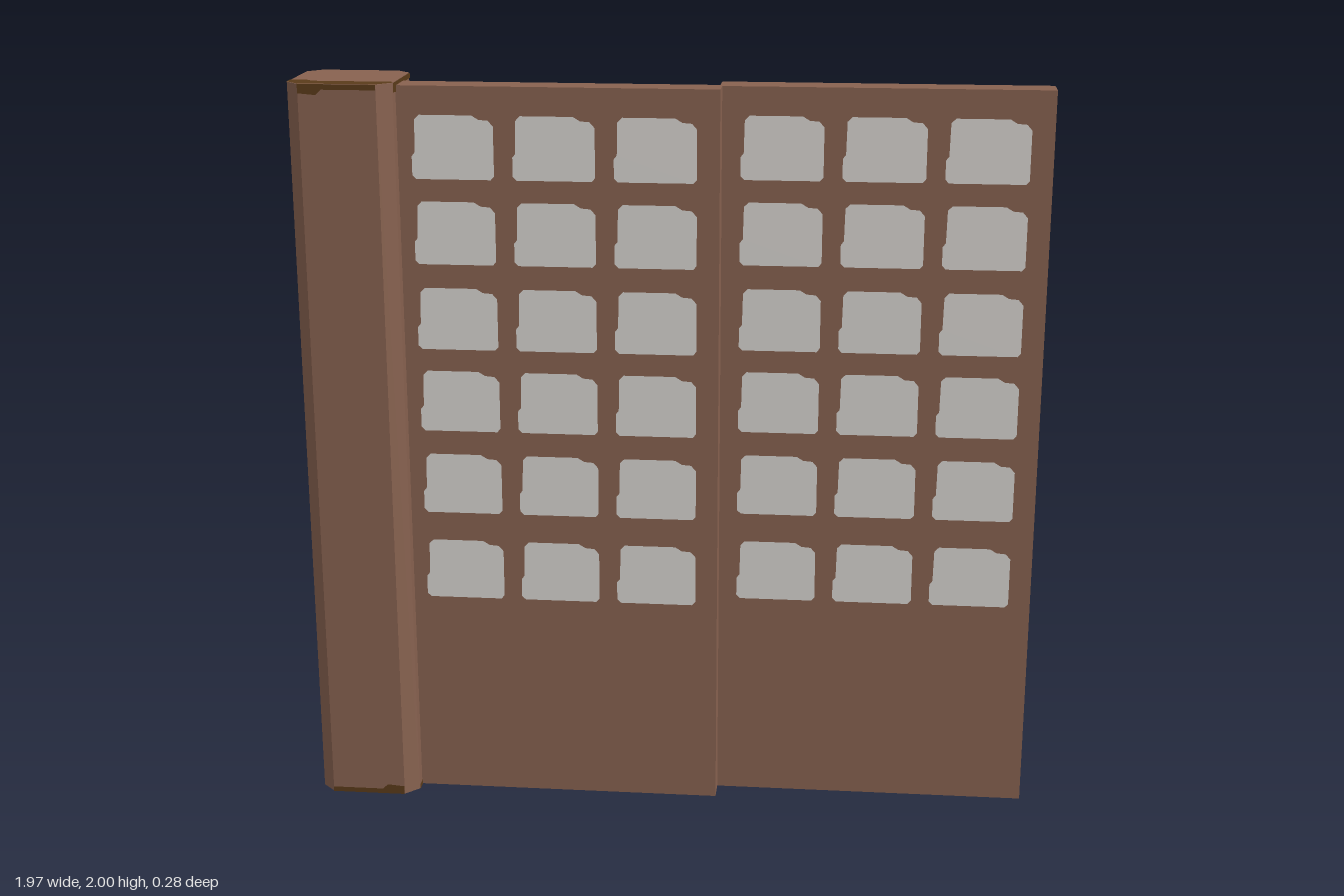
import * as THREE from 'three';

const flat = (color, name) => {
  const m = new THREE.MeshStandardMaterial({ color });
  m.name = name;
  return m;
};

// Flat face or solid slab from a list of outline points
const outline = (pts) => new THREE.Shape(pts.map(([x, y]) => new THREE.Vector2(x, y)));

export function createModel() {
  const model = new THREE.Group();
  model.name = 'slidingScreenDoor';
  const wood = flat(0x886250, 'wood');
  const paper = flat(0xd9d5d2, 'paper');
  const dark = flat(0x5a3b1a, 'darkWood');

  const add = (parent, name, geo, mat, x = 0, y = 0, z = 0) => {
    const mesh = new THREE.Mesh(geo, mat);
    mesh.name = name;
    mesh.position.set(x, y, z);
    parent.add(mesh);
    return mesh;
  };

  // Post: square with chamfered corners, full height
  const post = new THREE.Group();
  post.name = 'post';
  post.position.x = -0.848;
  model.add(post);
  const r = 0.138, c = 0.102;
  const postShape = outline([[-c, -r], [c, -r], [r, -c], [r, c], [c, r], [-c, r], [-r, c], [-r, -c]]);
  const postGeo = new THREE.ExtrudeGeometry(postShape, { depth: 2, bevelEnabled: false });
  postGeo.rotateX(-Math.PI / 2);
  add(post, 'postBody', postGeo, wood);

  // Dark worn bands at the top and bottom of each post face
  const bandGeo = new THREE.ShapeGeometry(outline([
    [-c, 0], [-c, -0.024], [-0.055, -0.028], [-0.04, -0.014], [c, -0.014], [c, 0],
  ]));
  for (let i = 0; i < 4; i++) {
    const side = new THREE.Group();
    side.name = 'postSide';
    side.rotation.y = i * Math.PI / 2;
    post.add(side);
    add(side, 'topBand', bandGeo, dark, 0, 2, r + 0.002);
    add(side, 'bottomBand', bandGeo, dark, 0, 0, r + 0.002).rotation.z = Math.PI;
  }

  // Dark strip along the front edge of the post's end faces
  const capGeo = new THREE.ShapeGeometry(outline([
    [-c, -r], [c, -r], [r, -c], [r, -0.085], [-0.075, -0.085], [-0.095, -0.066], [-r, -0.066], [-r, -c],
  ]));
  add(post, 'topCapStrip', capGeo, dark, 0, 2.001, 0).rotation.x = -Math.PI / 2;
  const under = add(post, 'bottomCapStrip', capGeo, dark, 0, -0.001, 0);
  under.rotation.set(Math.PI / 2, 0, 0);

  // Shared door geometry
  const w = 0.43, h = 1.99, t = 0.0425;
  const doorGeo = new THREE.BoxGeometry(2 * w, h, 2 * t);
  const paneGeo = new THREE.ShapeGeometry(outline([
    [0, 0.01], [0.01, 0], [0.207, 0], [0.216, 0.01], [0.216, 0.14], [0.203, 0.155],
    [0.178, 0.157], [0.16, 0.168], [0.022, 0.168], [0.01, 0.156], [0.008, 0.07], [0, 0.06],
  ]));
  const backPaperGeo = new THREE.ShapeGeometry(outline([
    [-w, 0], [-0.05, 0], [-0.05, 0.17], [w, 0.17], [w, 0.935], [-w, 0.935],
  ]));
  const railGeo = new THREE.ShapeGeometry(outline([
    [-w, 0.935], [w, 0.935], [w, 1.08], [0.4, 1.115], [0.24, 1.13], [0.19, 1.15],
    [0.02, 1.115], [-0.01, 1.12], [-0.03, 1.06], [-w, 1.06],
  ]));
  const rows = [1.747, 1.52, 1.288, 1.06, 0.826, 0.578];

  const addDoor = (name, x, z) => {
    const door = new THREE.Group();
    door.name = name;
    door.position.set(x, 0, z);
    model.add(door);
    add(door, 'doorSlab', doorGeo, wood, 0, h / 2, 0);

    // Paper panes, three columns by six rows
    for (const y of rows) {
      for (let i = 0; i < 3; i++) {
        add(door, 'pane', paneGeo, paper, -0.375 + i * 0.265, y, t + 0.002);
      }
    }

    // Back: paper lower half, dark rail and a small knot
    const back = new THREE.Group();
    back.name = 'doorBack';
    back.rotation.y = Math.PI;
    back.position.z = -t - 0.002;
    door.add(back);
    add(back, 'backPaper', backPaperGeo, paper);
    add(back, 'backRail', railGeo, dark);
    add(back, 'knot', new THREE.PlaneGeometry(0.014, 0.026), dark, 0.04, 1.465, 0);
  };
  addDoor('innerDoor', -0.298, 0.026);
  addDoor('outerDoor', 0.556, -0.04);

  return model;
}
